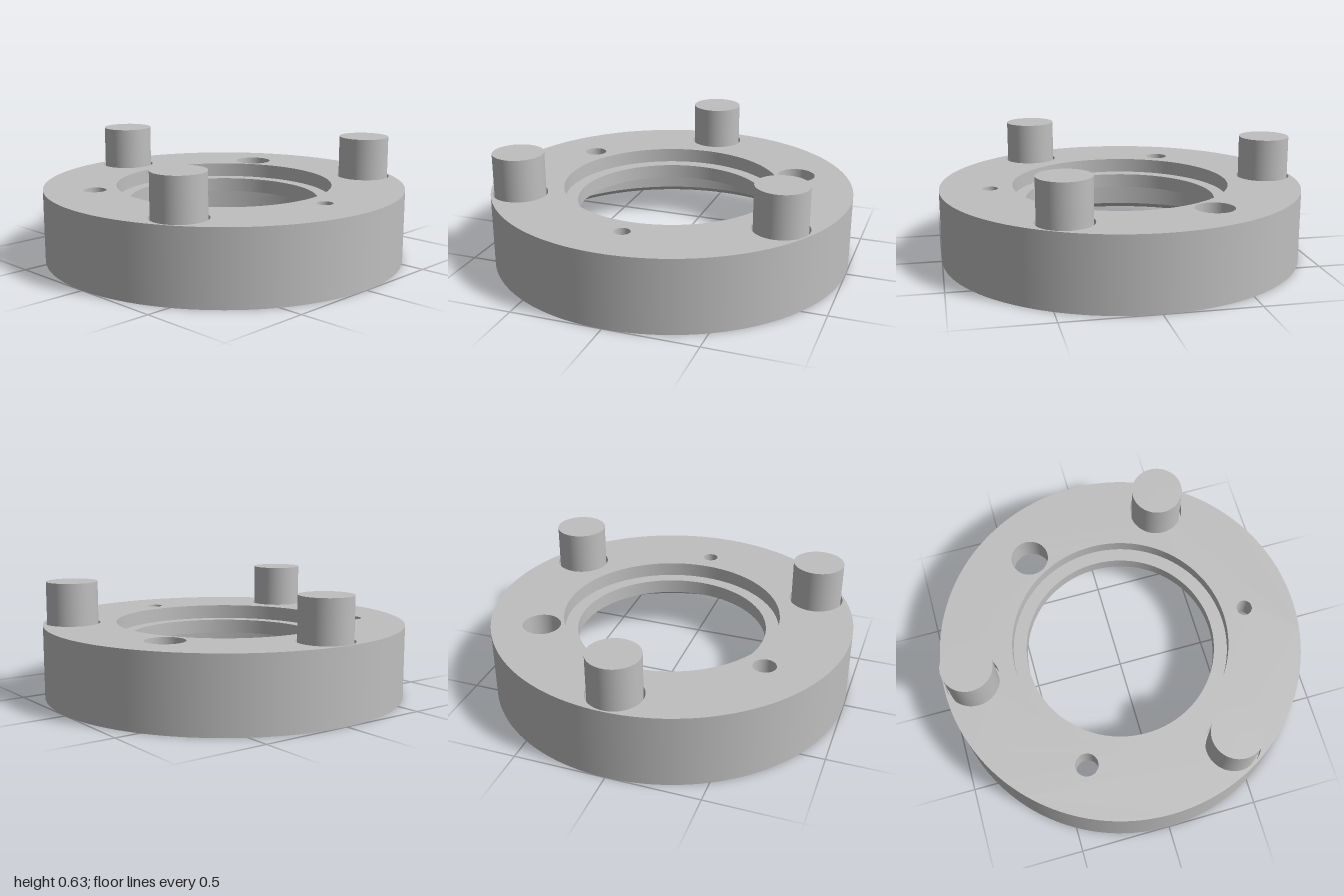
import * as THREE from 'three';
import { mergeGeometries } from 'three/addons/utils/BufferGeometryUtils.js';

const SEG = 128;
const TOP = 0.4, LEDGE = 0.32, CEILING = 0.24, PIN_TOP = 0.63;
const PIN_R = 0.14, POCKET_R = 0.15;

// Pin centres and through holes as [x, z, radius]
const pins = [[-0.84, 0], [0.42, 0.727], [0.42, -0.727]];
const holes = [[0.724, 0, 0.043], [-0.362, 0.627, 0.062], [-0.362, -0.627, 0.104]];

// Revolved surface with a sharp edge at every profile point [radius, y]
function revolve(profile, x = 0, z = 0) {
  const parts = [];
  for (let i = 0; i < profile.length - 1; i++) {
    const pts = [profile[i], profile[i + 1]].map(([r, y]) => new THREE.Vector2(r, y));
    parts.push(new THREE.LatheGeometry(pts, SEG));
  }
  return mergeGeometries(parts).translate(x, 0, z);
}

// Flat disc with round cut-outs, facing up or down
function perforatedDisc(radius, cuts, y, up) {
  const sign = up ? -1 : 1;
  const shape = new THREE.Shape().absarc(0, 0, radius, 0, Math.PI * 2, false);
  for (const [x, z, r] of cuts) {
    shape.holes.push(new THREE.Path().absarc(x, sign * z, r, 0, Math.PI * 2, true));
  }
  return new THREE.ShapeGeometry(shape, SEG / 2).rotateX(sign * Math.PI / 2).translate(0, y, 0);
}

export function createModel() {
  const metal = new THREE.MeshStandardMaterial({ color: 0xbfbfbf });
  metal.name = 'greyMetal';
  const model = new THREE.Group();
  model.name = 'flangeRing';
  const add = (name, geometry) => {
    const mesh = new THREE.Mesh(geometry, metal);
    mesh.name = name;
    model.add(mesh);
  };

  // Outer shell: chamfered cup wall, bottom rim and outside
  add('outerShell', revolve([[0.92, CEILING], [0.92, 0.03], [0.95, 0], [1, 0], [1, TOP]]));

  // Stepped centre bore
  add('centreBore', revolve([[0.6, TOP], [0.6, LEDGE], [0.527, LEDGE], [0.527, CEILING]]));

  // Upper and lower faces of the plate
  const pockets = pins.map(([x, z]) => [x, z, POCKET_R]);
  add('topFace', perforatedDisc(1, [[0, 0, 0.6], ...holes, ...pockets], TOP, true));
  add('undersideFace', perforatedDisc(0.92, [[0, 0, 0.527], ...holes], CEILING, false));

  // Through-hole walls
  for (const [x, z, r] of holes) add('throughHole', revolve([[r, TOP], [r, CEILING]], x, z));

  // Pins standing in shallow clearance pockets
  for (const [x, z] of pins) {
    add('pinPocket', revolve([[POCKET_R, TOP], [POCKET_R, LEDGE], [PIN_R, LEDGE]], x, z));
    add('pin', revolve([[PIN_R, LEDGE], [PIN_R, PIN_TOP], [0, PIN_TOP]], x, z));
  }
  return model;
}
